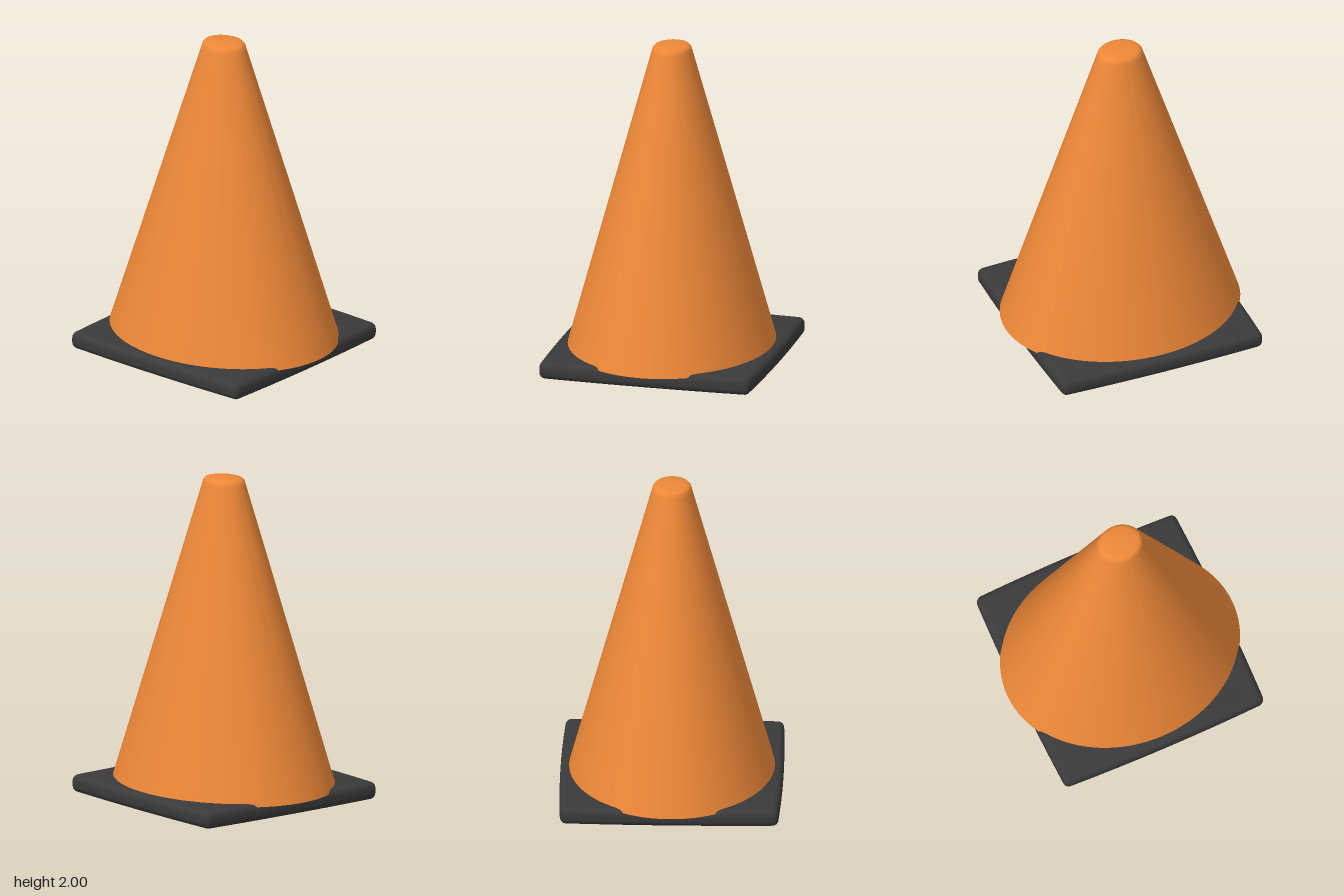
import * as THREE from 'three';
import { toCreasedNormals } from 'three/addons/utils/BufferGeometryUtils.js';

const material = (color) => new THREE.MeshStandardMaterial({ color });

// Square slab with slightly bowed sides and soft rounded edges
function createBase() {
  const side = 0.67, end = 0.625, bow = 0.026, bevel = 0.04, height = 0.11;
  const shape = new THREE.Shape();
  shape.moveTo(-end, -side);
  for (let i = 0; i < 4; i++) {
    const a = (i * Math.PI) / 2;
    const turn = (x, y) => [
      x * Math.cos(a) - y * Math.sin(a),
      x * Math.sin(a) + y * Math.cos(a),
    ];
    shape.quadraticCurveTo(...turn(0, -side - bow), ...turn(end, -side));
    shape.quadraticCurveTo(...turn(side, -side), ...turn(side, -end));
  }
  const geometry = new THREE.ExtrudeGeometry(shape, {
    depth: height - 2 * bevel,
    bevelThickness: bevel,
    bevelSize: bevel,
    bevelOffset: -bevel,
    bevelSegments: 5,
    curveSegments: 8,
  });
  geometry.rotateX(-Math.PI / 2).translate(0, bevel, 0);
  const base = new THREE.Mesh(toCreasedNormals(geometry, 0.8), material(0x3a3a3a));
  base.name = 'base';
  return base;
}

// Closed oval cone, deeper than wide, with a small rounded shoulder at the tip
function createCone() {
  const profile = [
    [0, 0.09], [0.635, 0.09], [0.124, 1.96], [0.118, 1.982],
    [0.108, 1.995], [0.092, 2], [0, 2],
  ].map(([r, y]) => new THREE.Vector2(r, y));
  const geometry = new THREE.LatheGeometry(profile, 96);
  geometry.scale(1, 1, 1.187);
  const cone = new THREE.Mesh(toCreasedNormals(geometry, 0.9), material(0xee8838));
  cone.name = 'cone';
  return cone;
}

export function createModel() {
  const model = new THREE.Group();
  model.name = 'trafficCone';
  model.add(createBase(), createCone());
  return model;
}
